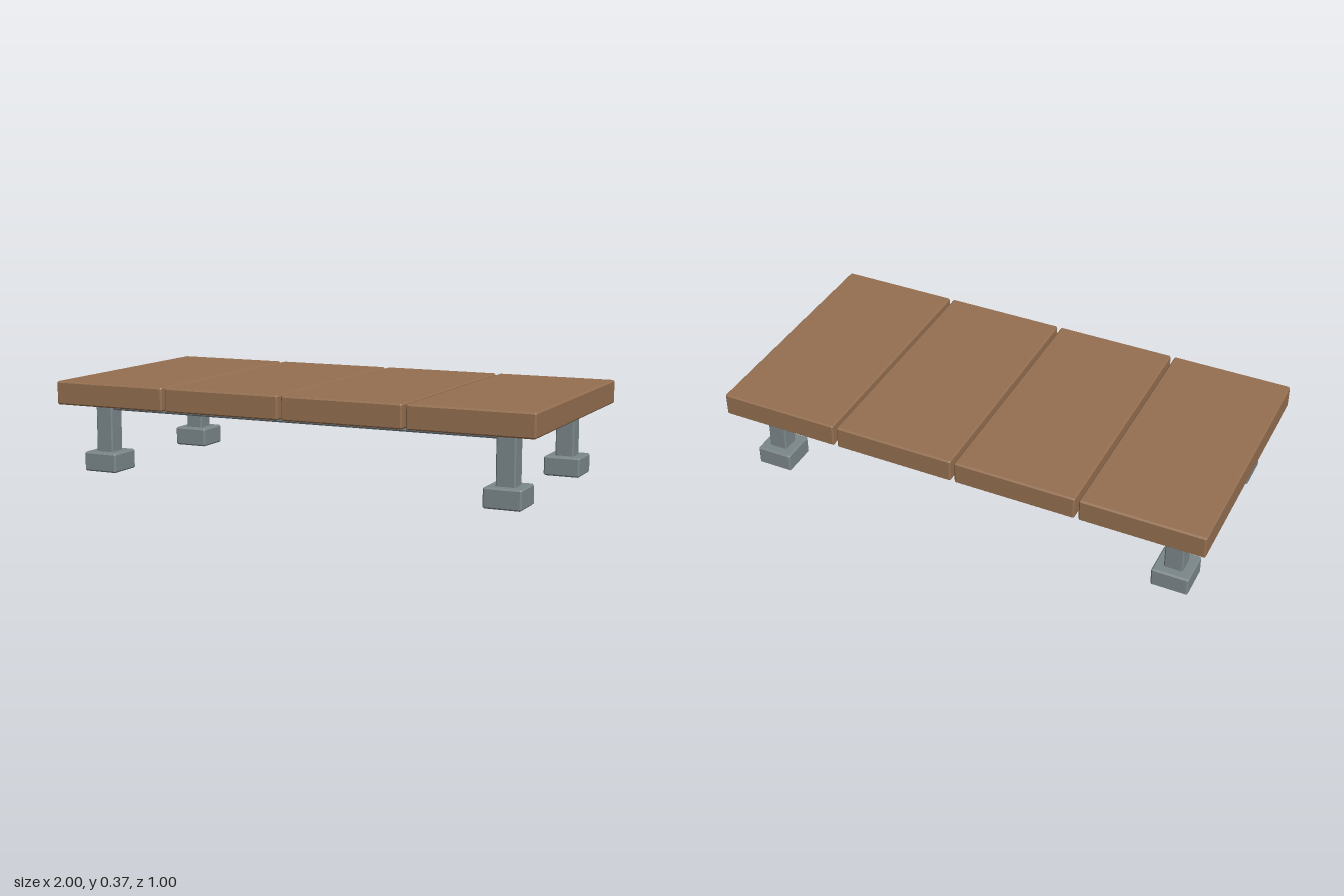
import * as THREE from 'three';
import { ConvexGeometry } from 'three/addons/geometries/ConvexGeometry.js';

// Box with flat chamfered edges: each corner is pulled in along two axes at a time
function chamferBox(w, h, d, c) {
  const points = [];
  for (const sx of [-1, 1]) for (const sy of [-1, 1]) for (const sz of [-1, 1]) {
    const x = w / 2, y = h / 2, z = d / 2;
    points.push(
      new THREE.Vector3(sx * x, sy * (y - c), sz * (z - c)),
      new THREE.Vector3(sx * (x - c), sy * y, sz * (z - c)),
      new THREE.Vector3(sx * (x - c), sy * (y - c), sz * z)
    );
  }
  return new ConvexGeometry(points);
}

export function createModel() {
  const model = new THREE.Group();
  model.name = 'lowTable';
  const wood = new THREE.MeshStandardMaterial({ color: 0x946f50 });
  const metal = new THREE.MeshStandardMaterial({ color: 0x7b868a });

  const add = (name, geometry, material, x, y, z) => {
    const mesh = new THREE.Mesh(geometry, material);
    mesh.name = name;
    mesh.position.set(x, y, z);
    model.add(mesh);
  };

  // Four wide planks with narrow gaps
  const plank = chamferBox(0.488, 0.094, 1, 0.006);
  for (let i = 0; i < 4; i++) add('plank', plank, wood, (i - 1.5) * 0.504, 0.323, 0);

  // Legs on block feet at the four corners
  const legX = 0.853, legZ = 0.352;
  const leg = chamferBox(0.075, 0.22, 0.075, 0.005);
  const foot = chamferBox(0.147, 0.078, 0.147, 0.006);
  for (const sx of [-1, 1]) for (const sz of [-1, 1]) {
    add('leg', leg, metal, sx * legX, 0.18, sz * legZ);
    add('foot', foot, metal, sx * legX, 0.039, sz * legZ);
  }

  // Rails joining the legs under the planks
  const longRail = chamferBox(2 * legX, 0.05, 0.05, 0.006);
  const endRail = chamferBox(0.05, 0.05, 2 * legZ, 0.006);
  for (const s of [-1, 1]) {
    add('longRail', longRail, metal, 0, 0.273, s * legZ);
    add('endRail', endRail, metal, s * legX, 0.273, 0);
  }
  return model;
}
